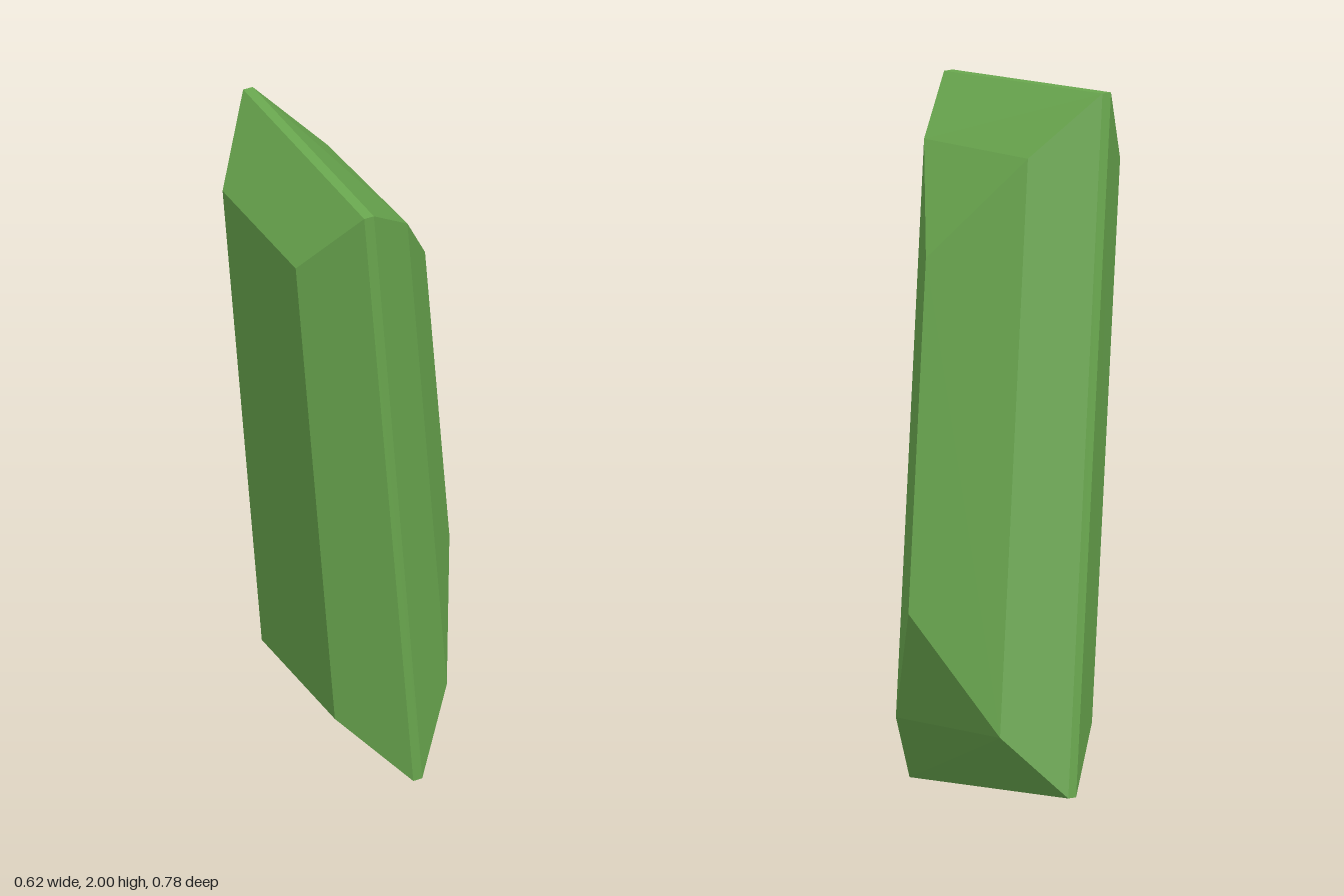
import * as THREE from 'three';

export function createModel() {
  const group = new THREE.Group();
  group.name = 'crystal';

  // Lateral edges of the slanted prism, counter-clockwise from above: [top end, bottom end]
  const edges = [
    [[-0.293, 2.0, -0.143], [-0.205, 0.05, -0.375]],   // 0 ridge, back
    [[-0.311, 1.778, 0.042], [-0.24, 0.217, -0.143]],  // 1 left corner
    [[-0.033, 1.753, 0.363], [0.038, 0.187, 0.178]],   // 2 front corner
    [[0.168, 1.957, 0.391], [0.257, 0.003, 0.16]],     // 3 ridge, front
    [[0.191, 1.957, 0.371], [0.278, 0.003, 0.14]],     // 4 bevel, front
    [[0.238, 1.808, 0.15], [0.309, 0.207, -0.038]],    // 5 right corner
    [[0.221, 1.53, -0.157], [0.265, 0.545, -0.273]],   // 6 back right corner
    [[-0.064, 1.82, -0.193], [0.006, 0.218, -0.384]],  // 7 back corner
    [[-0.27, 2.0, -0.162], [-0.184, 0.05, -0.394]],    // 8 bevel, back
  ];
  // Facets of each pointed end, as indices of the edges
  const capFacets = [[0, 1, 2, 3], [0, 3, 4, 8], [8, 4, 5, 7], [7, 5, 6]];

  const positions = [];
  const addFacet = (pts) => {
    for (let i = 1; i < pts.length - 1; i++) positions.push(...pts[0], ...pts[i], ...pts[i + 1]);
  };

  // Long side facets
  edges.forEach(([top, bottom], i) => {
    const [nextTop, nextBottom] = edges[(i + 1) % edges.length];
    addFacet([top, bottom, nextBottom, nextTop]);
  });

  // Chisel-shaped ends
  for (const facet of capFacets) {
    addFacet(facet.map((i) => edges[i][0]));
    addFacet(facet.map((i) => edges[i][1]).reverse());
  }

  const geometry = new THREE.BufferGeometry();
  geometry.setAttribute('position', new THREE.Float32BufferAttribute(positions, 3));
  geometry.computeVertexNormals();

  const shard = new THREE.Mesh(
    geometry,
    new THREE.MeshStandardMaterial({ color: 0x6aa84f, flatShading: true })
  );
  shard.name = 'crystalShard';
  group.add(shard);
  return group;
}
